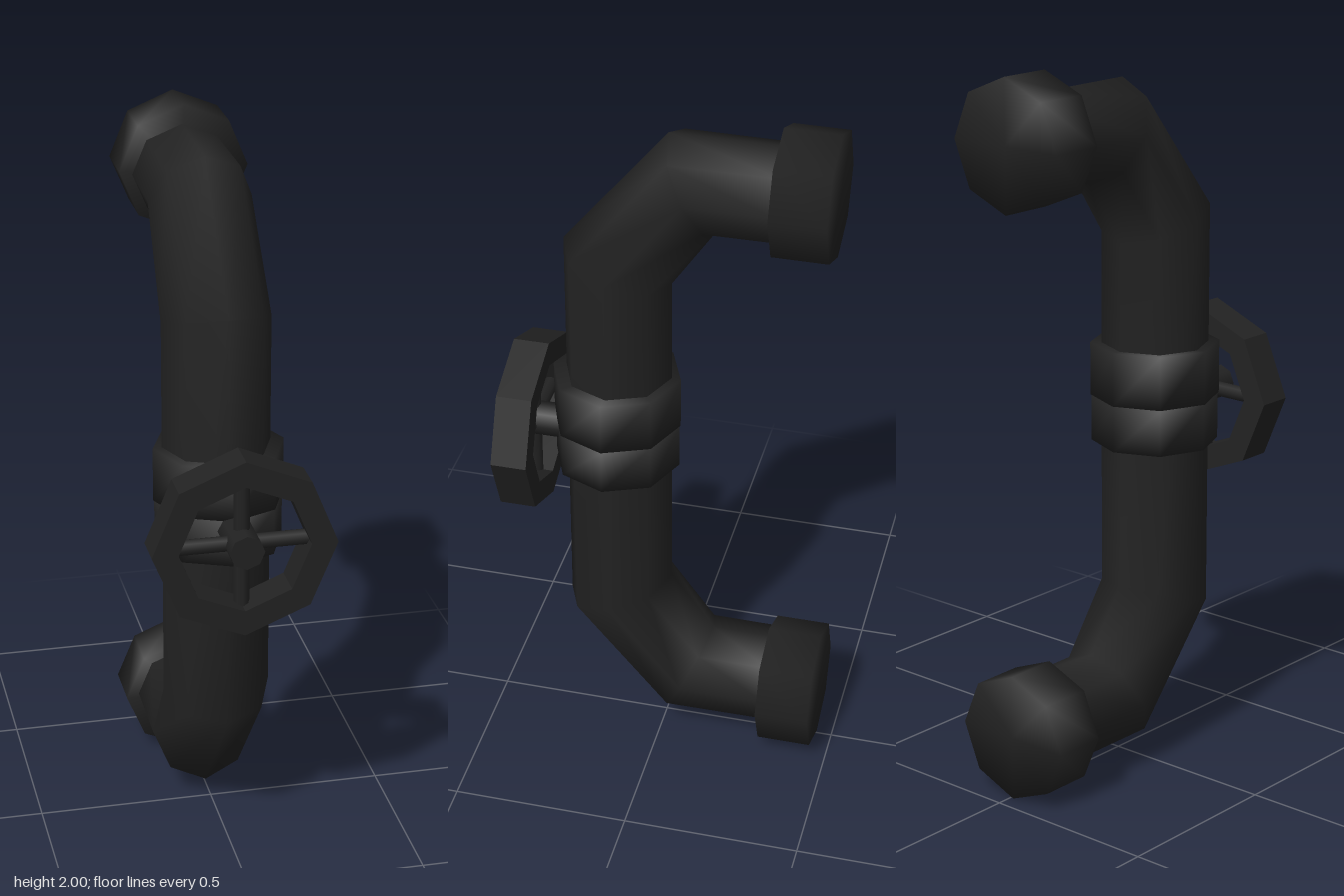
import * as THREE from 'three';
import { mergeVertices } from 'three/addons/utils/BufferGeometryUtils.js';

const SIDES = 8;
const CX = -0.01; // pipe centre line

// Share corners so that shading runs softly over the edges
function soften(geo) {
  geo.deleteAttribute('normal');
  geo.deleteAttribute('uv');
  const merged = mergeVertices(geo, 1e-4);
  merged.computeVertexNormals();
  return merged;
}

// Eight-sided tube through rings given as [outerZ, outerY, innerZ, innerY, halfWidth]
function sweepRings(rings) {
  const pos = [], idx = [];
  for (const [oz, oy, iz, iy, w] of rings) {
    for (let j = 0; j < SIDES; j++) {
      const a = (j / SIDES) * Math.PI * 2, c = Math.cos(a) / 2;
      pos.push(CX - 0.005 + w * Math.sin(a), (oy + iy) / 2 + (oy - iy) * c, (oz + iz) / 2 + (oz - iz) * c);
    }
  }
  for (let i = 0; i < rings.length - 1; i++) {
    for (let j = 0; j < SIDES; j++) {
      const a = i * SIDES + j, b = i * SIDES + (j + 1) % SIDES;
      idx.push(a, b, b + SIDES, a, b + SIDES, a + SIDES);
    }
  }
  const geo = new THREE.BufferGeometry();
  geo.setAttribute('position', new THREE.Float32BufferAttribute(pos, 3));
  geo.setIndex(idx);
  geo.computeVertexNormals();
  return geo;
}

function octagon(ShapeType, r) {
  const pts = [];
  for (let j = 0; j < SIDES; j++) {
    const a = (j / SIDES) * Math.PI * 2;
    pts.push(new THREE.Vector2(r * Math.cos(a), r * Math.sin(a)));
  }
  return new ShapeType(pts);
}

export function createModel() {
  const model = new THREE.Group();
  model.name = 'valvePipe';
  const iron = new THREE.MeshStandardMaterial({ color: 0x222222 });
  iron.name = 'blackIron';

  const add = (name, geo, x, y, z, parent = model) => {
    const mesh = new THREE.Mesh(geo, iron);
    mesh.name = name;
    mesh.position.set(x, y, z);
    parent.add(mesh);
    return mesh;
  };

  // Bent pipe, from the lower end round to the upper end
  add('pipe', sweepRings([
    [-0.32, 0.055, -0.32, 0.33, 0.139],
    [0, 0.055, -0.135, 0.33, 0.142],
    [0.29, 0.4, -0.01, 0.5, 0.15],
    [0.29, 1.59, -0.01, 1.49, 0.15],
    [0, 1.945, -0.135, 1.675, 0.142],
    [-0.32, 1.945, -0.32, 1.675, 0.139],
  ]), 0, 0, 0);

  // End flanges
  for (const [name, y] of [['lowerFlange', 0.18], ['upperFlange', 1.82]]) {
    const geo = new THREE.CylinderGeometry(0.18, 0.18, 0.153, SIDES).rotateX(Math.PI / 2);
    add(name, soften(geo), CX, y, -0.3785);
  }

  // Pair of collars at the valve
  for (const [name, y, h, r] of [['lowerCollar', 0.966, 0.132, 0.178], ['upperCollar', 1.109, 0.152, 0.181]]) {
    add(name, soften(new THREE.CylinderGeometry(r, r, h, SIDES)), CX, y, 0.145);
  }

  // Hand wheel: rim, stem and four spokes
  const wheel = new THREE.Group();
  wheel.name = 'handWheel';
  wheel.position.set(0, 1, 0.385);
  model.add(wheel);

  const rim = octagon(THREE.Shape, 0.252);
  rim.holes.push(octagon(THREE.Path, 0.18));
  add('rim', new THREE.ExtrudeGeometry(rim, { depth: 0.1, bevelEnabled: false }), 0, 0, -0.05, wheel);
  add('stem', new THREE.CylinderGeometry(0.048, 0.048, 0.2, SIDES).rotateX(Math.PI / 2), 0, 0, -0.03, wheel);
  for (let k = 0; k < 4; k++) {
    const spoke = new THREE.CylinderGeometry(0.022, 0.022, 0.17, SIDES).translate(0, 0.115, 0);
    add('spoke', spoke, 0, 0, 0, wheel).rotation.z = k * Math.PI / 2;
  }
  return model;
}
